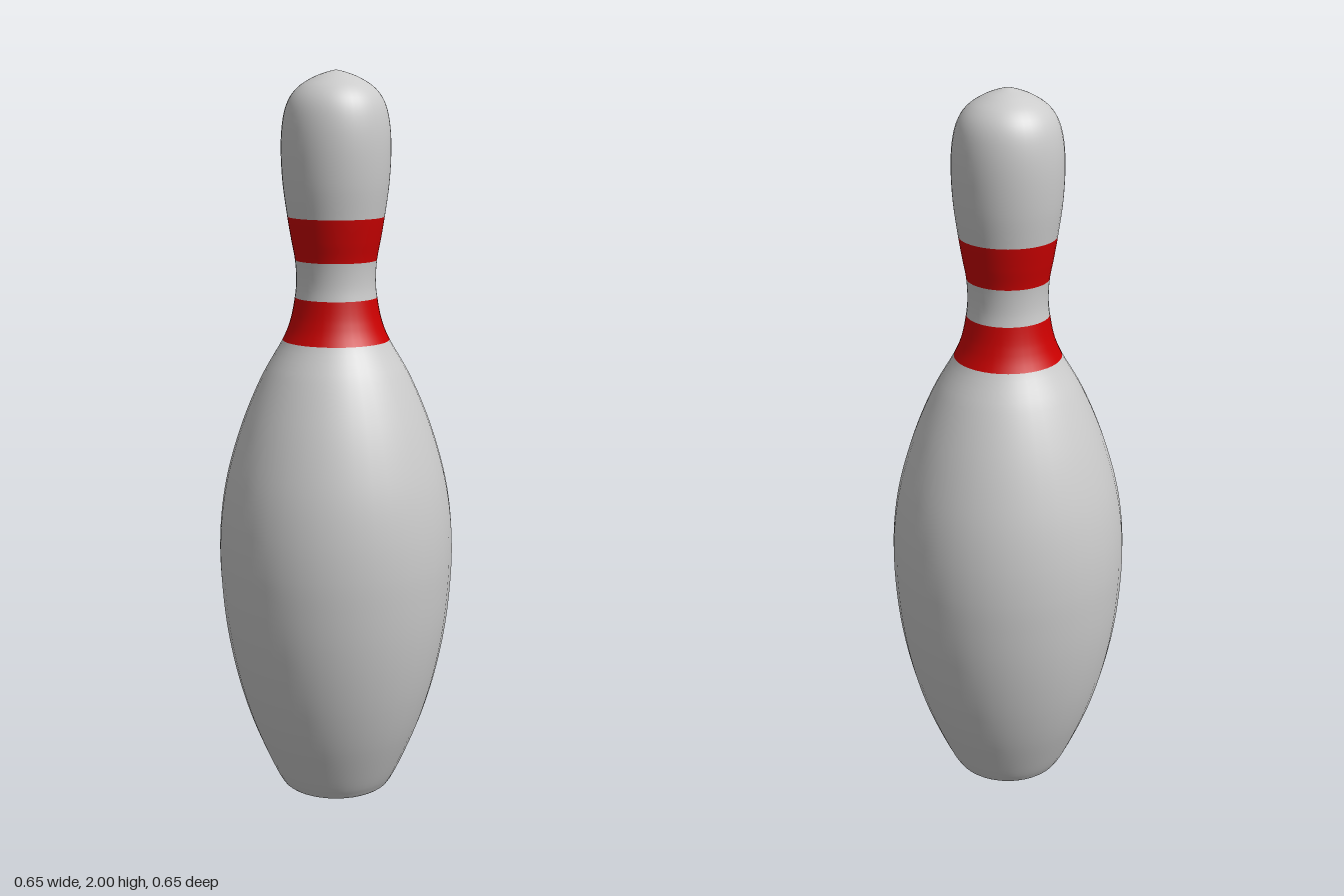
import * as THREE from 'three';

// Silhouette from base to crown: [radius, height]
const PROFILE = [
  [0, 0.003], [0.08, 0.005], [0.14, 0.01], [0.162, 0.032], [0.195, 0.1], [0.236, 0.2],
  [0.268, 0.3], [0.292, 0.4], [0.309, 0.5], [0.319, 0.6], [0.323, 0.7], [0.318, 0.8],
  [0.303, 0.9], [0.277, 1.0], [0.242, 1.1], [0.197, 1.2], [0.145, 1.29],
  [0.123, 1.345], [0.111, 1.405],
  [0.107, 1.45], [0.11, 1.505],
  [0.12, 1.56], [0.13, 1.62],
  [0.142, 1.71], [0.146, 1.8], [0.141, 1.87], [0.127, 1.92], [0.101, 1.955],
  [0.062, 1.98], [0.025, 1.994], [0, 2.0],
];
const SIDES = 40;
const STEPS = 4; // samples between neighbouring profile points

const curve = new THREE.SplineCurve(PROFILE.map(([r, y]) => new THREE.Vector2(r, y)));

// Lathe of one stretch of the silhouette, with normals taken from the whole
// curve so shading runs smoothly across the colour seams
function section(name, from, to, color) {
  const points = [];
  const normals = [];
  for (let k = from * STEPS; k <= to * STEPS; k++) {
    const t = k / (STEPS * (PROFILE.length - 1));
    const p = curve.getPoint(t);
    const d = curve.getTangent(t);
    p.x = Math.max(p.x, 0);
    points.push(p);
    normals.push(new THREE.Vector2(d.y, -d.x));
  }
  const geometry = new THREE.LatheGeometry(points, SIDES);
  const attribute = geometry.attributes.normal;
  for (let i = 0; i < attribute.count; i++) {
    const n = normals[i % points.length];
    const a = Math.floor(i / points.length) / SIDES * Math.PI * 2;
    attribute.setXYZ(i, n.x * Math.sin(a), n.y, n.x * Math.cos(a));
  }
  const mesh = new THREE.Mesh(geometry, new THREE.MeshStandardMaterial({ color }));
  mesh.name = name;
  return mesh;
}

export function createModel() {
  const pin = new THREE.Group();
  pin.name = 'bowlingPin';
  const grey = 0xcccccc;
  const red = 0xcc0000;
  const last = PROFILE.length - 1;
  pin.add(
    section('body', 0, 16, grey),
    section('lowerStripe', 16, 18, red),
    section('neck', 18, 20, grey),
    section('upperStripe', 20, 22, red),
    section('head', 22, last, grey),
  );
  return pin;
}
